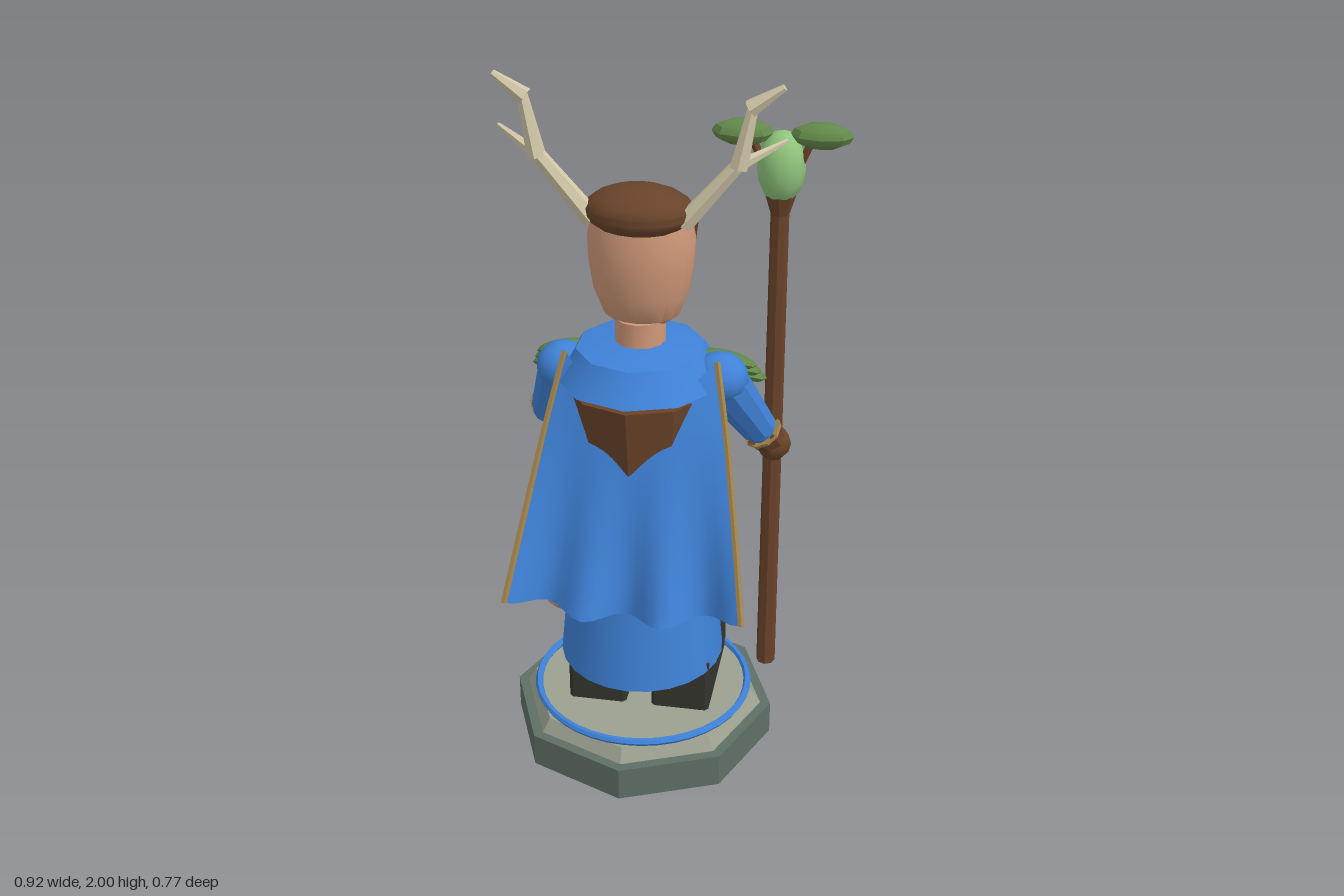
import * as THREE from 'three';
import { toCreasedNormals } from 'three/addons/utils/BufferGeometryUtils.js';

const mat = (name, color, extra = {}) => {
  const m = new THREE.MeshStandardMaterial({ color, ...extra });
  m.name = name;
  return m;
};
const V = (x, y, z) => new THREE.Vector3(x, y, z);

export function createModel() {
  const group = new THREE.Group();
  const blue = mat('blueCloth', 0x3f82d8, { side: THREE.DoubleSide });
  const brown = mat('brownLeather', 0x69432a);
  const skin = mat('skin', 0xcf9878);
  const bone = mat('bone', 0xd2c7a8);
  const green = mat('leafGreen', 0x63894a);
  const lime = mat('budGreen', 0x8fc47c);
  const dark = mat('darkLeather', 0x35352e);
  const stone = mat('darkStone', 0x5f6f66);
  const pale = mat('paleStone', 0x9ba08f);
  const gold = mat('goldTrim', 0xa5854c);
  const CX = -0.08; // body axis

  const add = (name, geo, m, x = 0, y = 0, z = 0, crease = 0.6) => {
    const mesh = new THREE.Mesh(crease ? toCreasedNormals(geo, crease) : geo, m);
    mesh.name = name;
    mesh.position.set(x, y, z);
    group.add(mesh);
    return mesh;
  };
  // Upright frustum between two heights
  const drum = (name, m, rTop, rBot, y0, y1, n, x = CX, z = 0, sx = 1, sz = 1) =>
    add(name, new THREE.CylinderGeometry(rTop, rBot, y1 - y0, n).scale(sx, 1, sz), m, x, (y0 + y1) / 2, z);
  const ball = (name, m, x, y, z, rx, ry, rz, n = 14) =>
    add(name, new THREE.SphereGeometry(1, n, Math.round(n * 0.7)).scale(rx, ry, rz), m, x, y, z);
  const box = (name, m, x, y, z, w, h, d) => add(name, new THREE.BoxGeometry(w, h, d), m, x, y, z);
  // Tapered rod between two points
  const rod = (name, m, a, b, ra, rb, n = 6) => {
    const d = b.clone().sub(a);
    const mesh = add(name, new THREE.CylinderGeometry(rb, ra, d.length(), n), m);
    mesh.position.copy(a).add(b).multiplyScalar(0.5);
    mesh.quaternion.setFromUnitVectors(V(0, 1, 0), d.normalize());
    return mesh;
  };

  // Octagonal plinth with inlaid ring
  drum('baseSlab', stone, 0.385, 0.385, 0, 0.1, 8);
  drum('baseStep', pale, 0.33, 0.355, 0.1, 0.14, 8);
  add('baseRing', new THREE.TorusGeometry(0.312, 0.011, 6, 40).rotateX(Math.PI / 2), blue, CX, 0.149, 0);

  // Boots and the small rounded stone beside them
  for (const [x, zf] of [[-0.195, -0.255], [0.05, -0.235]]) {
    const s = new THREE.Shape([[-0.11, 0], [-zf, 0], [-zf, 0.07], [-zf - 0.05, 0.115], [0.06, 0.16], [-0.11, 0.16]]
      .map(p => new THREE.Vector2(...p)));
    const g = new THREE.ExtrudeGeometry(s, { depth: 0.15, bevelSize: 0.01, bevelThickness: 0.01, bevelSegments: 1 });
    add('boot', g.translate(0, 0, -0.075).rotateY(Math.PI / 2), dark, x, 0.14, 0, 0.3);
  }
  ball('roundStone', skin, -0.345, 0.265, -0.21, 0.08, 0.035, 0.05);

  // Robe, tunic skirt, belt and vest
  drum('robe', blue, 0.2, 0.237, 0.28, 0.66, 24, CX, 0.008, 1, 1.03);
  drum('tunicSkirt', blue, 0.175, 0.217, 0.645, 0.83, 12);
  drum('belt', dark, 0.182, 0.182, 0.815, 0.885, 12);
  drum('vest', brown, 0.22, 0.182, 0.88, 1.15, 10, CX, 0, 0.95, 1);
  drum('collar', blue, 0.18, 0.237, 1.17, 1.255, 10, CX, 0, 0.98, 1);
  drum('collarTop', blue, 0.1, 0.18, 1.255, 1.272, 10, CX, 0, 0.98, 1);

  // Buckle, pouch, hanging cloths and gold seams
  const frame = new THREE.Shape().moveTo(-0.034, -0.034).lineTo(0.034, -0.034).lineTo(0.034, 0.034).lineTo(-0.034, 0.034);
  frame.holes.push(new THREE.Path().moveTo(-0.02, -0.02).lineTo(-0.02, 0.02).lineTo(0.02, 0.02).lineTo(0.02, -0.02));
  add('buckle', new THREE.ExtrudeGeometry(frame, { depth: 0.015, bevelEnabled: false }), gold, CX, 0.85, -0.197);
  box('bucklePin', gold, CX, 0.85, -0.187, 0.012, 0.05, 0.012);
  box('pouch', brown, 0.115, 0.805, -0.062, 0.07, 0.1, 0.08);
  box('pouchFlap', brown, 0.118, 0.845, -0.062, 0.08, 0.03, 0.09);
  for (const s of [-1, 1]) {
    drum('hangingCloth', blue, 0.03, 0.042, 0.63, 0.8, 6, CX + s * 0.145, -0.155, 1, 0.6);
    rod('skirtSeam', gold, V(CX + s * 0.07, 0.81, -0.172), V(CX + s * 0.085, 0.65, -0.204), 0.006, 0.006, 4);
    rod('robeSeam', gold, V(CX + s * 0.075, 0.64, -0.189), V(CX + s * 0.09, 0.3, -0.222), 0.006, 0.006, 4);
    for (let i = 0; i < 5; i++)
      box('vestStitch', gold, CX + s * 0.03, 0.92 + i * 0.045, -0.183 - i * 0.0055, 0.006, 0.026, 0.008);
  }

  // Cape: flared sheet with three folds growing toward the hem
  const capePoint = (u, v) => {
    const top = 1.15 + 0.1 * u * u, hem = 0.55 + 0.035 * u * u;
    const y = top + (hem - top) * v;
    const t = (1.25 - y) / 0.7;
    return V(CX + 0.012 * (1 - v) + u * (0.207 + 0.123 * Math.pow(v, 0.9)), y,
      0.065 + 0.225 * t - 0.035 * v * v * Math.cos(3 * Math.PI * u) + 0.05 * (1 - u * u) * (1 - v));
  };
  const cape = new THREE.PlaneGeometry(2, 1, 24, 10);
  const cp = cape.attributes.position;
  for (let i = 0; i < cp.count; i++) {
    const p = capePoint(cp.getX(i), 0.5 - cp.getY(i));
    cp.setXYZ(i, p.x, p.y, p.z);
  }
  cape.computeVertexNormals();
  add('cape', cape, blue, 0, 0, 0, 0);
  for (const u of [-1, 1]) {
    const path = new THREE.CatmullRomCurve3([0, 0.25, 0.5, 0.75, 1].map(v => capePoint(u, v)));
    add('capeTrim', new THREE.TubeGeometry(path, 12, 0.009, 5), gold);
  }

  // Arms, gloves and leaf shoulder guards
  const arms = [
    [-1, V(-0.29, 1.18, 0.01), V(-0.365, 0.99, -0.1), V(-0.39, 0.965, -0.235)],
    [1, V(0.14, 1.18, 0.01), V(0.235, 0.98, -0.1), V(0.275, 0.91, -0.14)],
  ];
  for (const [s, shoulder, elbow, hand] of arms) {
    ball('shoulder', blue, shoulder.x, shoulder.y, shoulder.z, 0.078, 0.07, 0.075);
    rod('sleeve', blue, shoulder, elbow, 0.072, 0.052, 10);
    ball('elbow', blue, elbow.x, elbow.y, elbow.z, 0.05, 0.05, 0.05, 10);
    const cuff = elbow.clone().lerp(hand, 0.2);
    rod('cuffTrim', gold, cuff, elbow.clone().lerp(hand, 0.32), 0.058, 0.058, 10);
    rod('gauntlet', brown, cuff, hand, 0.056, 0.042, 8);
    ball('glove', brown, hand.x, hand.y, hand.z, 0.05, 0.052, 0.05, 8);
    for (let i = 0; i < 3; i++) {
      const leaf = ball('shoulderLeaf', green, shoulder.x + s * (0.018 + i * 0.012), 1.21 - i * 0.028, -0.045 - i * 0.02, 0.08, 0.02, 0.062, 8);
      leaf.rotation.set(-0.25, s * 0.35, -s * 0.25);
    }
  }

  // Neck and head
  drum('neck', skin, 0.07, 0.07, 1.25, 1.34, 12);
  const profile = [[0, 1.305], [0.065, 1.315], [0.105, 1.345], [0.13, 1.41], [0.142, 1.49], [0.145, 1.56], [0.13, 1.63], [0, 1.67]]
    .map(p => new THREE.Vector2(...p));
  add('head', new THREE.LatheGeometry(profile, 18).scale(1, 1, 0.83), skin, CX, 0, -0.025);
  ball('cap', brown, CX, 1.643, 0.005, 0.146, 0.066, 0.115, 16);
  rod('noseBridge', skin, V(CX, 1.55, -0.135), V(CX, 1.475, -0.17), 0.016, 0.026, 8);
  ball('noseTip', skin, CX, 1.47, -0.172, 0.032, 0.033, 0.032, 10);
  for (const s of [-1, 1]) {
    const x = CX + s * 0.055;
    box('eyeWhite', bone, x, 1.525, -0.142, 0.045, 0.026, 0.009).rotation.y = -s * 0.2;
    box('pupil', dark, x, 1.525, -0.148, 0.018, 0.024, 0.008).rotation.y = -s * 0.2;
    box('eyebrow', brown, x, 1.562, -0.147, 0.06, 0.017, 0.022).rotation.z = s * 0.12;
    rod('sideburn', brown, V(CX + s * 0.122, 1.625, -0.075), V(CX + s * 0.122, 1.52, -0.085), 0.029, 0.014, 6);
  }
  // Beard of hanging locks
  for (let i = -2; i <= 2; i++) {
    const k = Math.abs(i);
    rod('beardLock', bone, V(CX + i * 0.028, 1.425 - k * 0.005, -0.135 + k * 0.006),
      V(CX + i * 0.02, 1.225 + k * 0.035, -0.172 + k * 0.008), 0.025, 0.009, 6);
  }

  // Antlers
  for (const s of [-1, 1]) {
    const P = (x, y, z) => V(CX + s * x, y, z);
    rod('antlerStem', bone, P(0.12, 1.62, 0.03), P(0.27, 1.8, 0.03), 0.028, 0.019);
    rod('antlerBeam', bone, P(0.262, 1.78, 0.03), P(0.297, 1.95, 0.025), 0.026, 0.014);
    rod('antlerTip', bone, P(0.288, 1.935, 0.025), P(0.372, 1.993, 0.025), 0.024, 0.009);
    rod('antlerBranch', bone, P(0.262, 1.785, 0.025), P(0.378, 1.838, -0.035), 0.018, 0.006);
  }

  // Staff with bud and two leaves
  const SX = 0.272, SZ = -0.14;
  drum('staff', brown, 0.025, 0.028, 0.16, 1.62, 8, SX, SZ);
  drum('staffHead', brown, 0.045, 0.025, 1.6, 1.665, 8, SX, SZ);
  ball('bud', lime, SX, 1.73, SZ, 0.065, 0.1, 0.065, 12);
  for (const s of [-1, 1]) {
    rod('leafStem', brown, V(SX + s * 0.03, 1.7, SZ), V(SX + s * 0.1, 1.85, SZ), 0.014, 0.009);
    ball('staffLeaf', green, SX + s * 0.103, 1.82, SZ, 0.083, 0.035, 0.046, 8);
  }
  return group;
}
